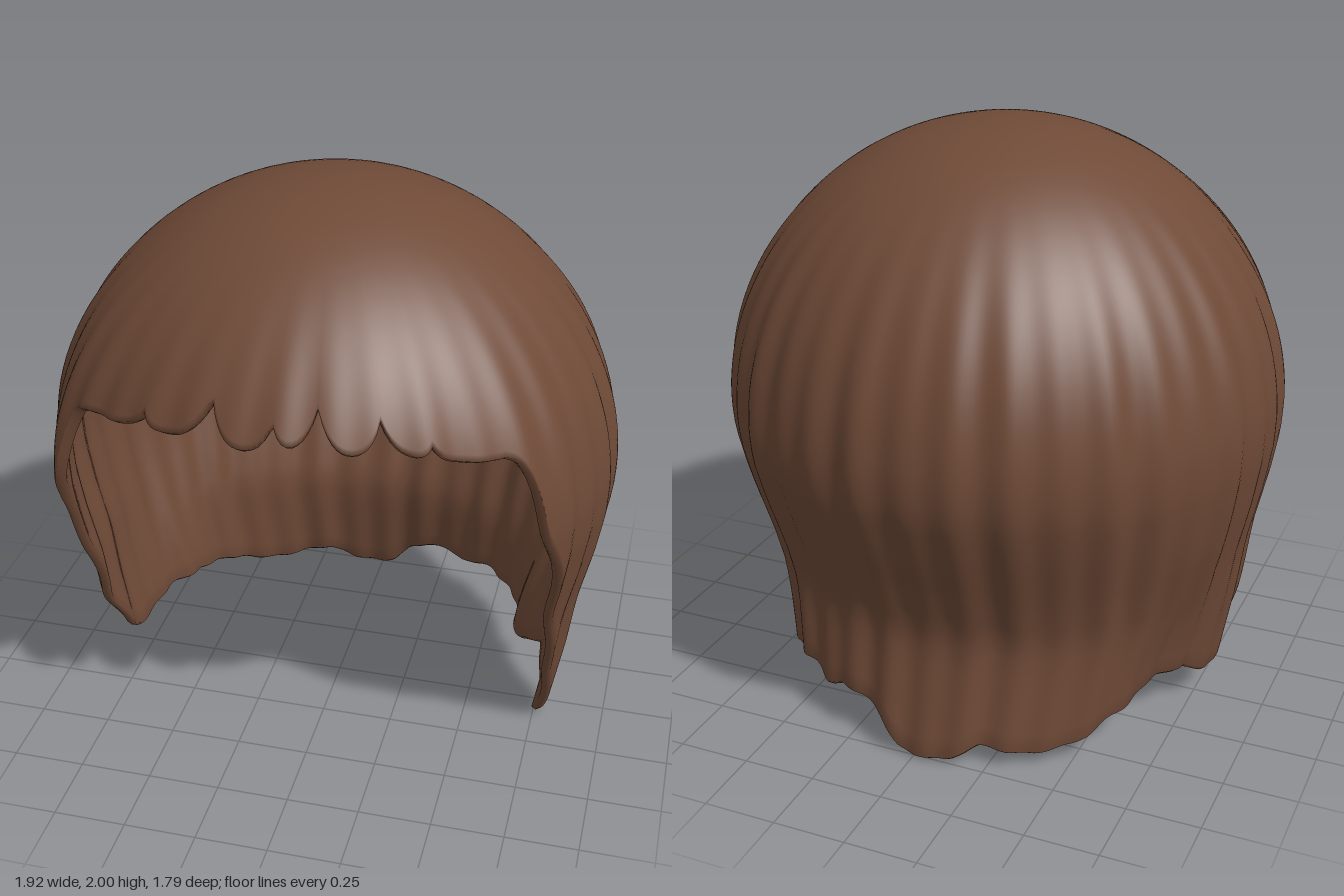
import * as THREE from 'three';

const COLS = 360, ROWS = 48;
const gauss = (d, w) => Math.exp(-(d * d) / (w * w));

// Piecewise-linear lookup in a table of [key, value] pairs with rising keys
function lookup(table, k) {
  if (k <= table[0][0]) return table[0][1];
  for (let i = 1; i < table.length; i++) {
    const [k0, v0] = table[i - 1], [k1, v1] = table[i];
    if (k <= k1) return v0 + (v1 - v0) * (k - k0) / (k1 - k0);
  }
  return table[table.length - 1][1];
}

// Radii below the widest level, by height
const sideRadius = [[0, 0.785], [0.2, 0.82], [0.4, 0.855], [0.6, 0.88], [0.8, 0.925], [0.95, 0.95], [1.05, 0.955]];
const backRadius = [[0, 0.82], [0.2, 0.78], [0.36, 0.75], [0.45, 0.745], [0.6, 0.795], [0.8, 0.875], [0.95, 0.928], [1.05, 0.94]];

// Height of the lower edge by angle in degrees (0 = front, 90 = +x, 180 = back)
const hem = [
  [48, 1.4], [51, 1.38], [53.5, 1.3], [56.4, 1.1], [61, 0.95], [66.6, 0.7], [75, 0.4],
  [85, 0.06], [88.5, 0.01], [93.5, 0.06], [101, 0.2], [108, 0.15], [114.5, 0.09], [122, 0.16],
  [134, 0.17], [146, 0.18], [153, 0.14], [158, 0.17], [165.5, 0.16], [171, 0.12], [176, 0.03],
  [180, 0.012], [189, 0.02], [196, 0.08], [200, 0.07], [210, 0.05], [219, 0.07], [229, 0.13],
  [243, 0.18], [256, 0.18], [264, 0.12], [270, 0.11], [275, 0.16], [285, 0.4], [293.4, 0.7],
  [299, 0.95], [303.6, 1.1], [306.5, 1.3], [309, 1.38], [312, 1.39],
];
// Fringe notches: angle, height, width
const notches = [[-29, 0.06, 2.5], [-13.4, 0.15, 4], [0.7, 0.1, 2.5], [10, 0.15, 3.5], [23, 0.12, 3], [33, 0.05, 2]];

function hemHeight(deg) {
  const signed = deg > 180 ? deg - 360 : deg;
  if (Math.abs(signed) < 48) {
    let y = 1.395 + 0.035 * Math.min(1, (48 - Math.abs(signed)) / 20);
    for (const [a, h, w] of notches) y += h * Math.exp(-Math.abs(signed - a) / w);
    return y;
  }
  return (lookup(hem, deg - 1) + 2 * lookup(hem, deg) + lookup(hem, deg + 1)) / 4;
}

// Point on the hair surface; scale shrinks it towards the axis for the inside
function hairPoint(deg, y, scale, drop) {
  const a = THREE.MathUtils.degToRad(deg);
  const dome = y > 1.05 ? Math.sqrt(Math.max(0, 1 - ((y - 1.05) / 0.95) ** 2)) : 1;
  const rx = lookup(sideRadius, y);
  const rz = Math.cos(a) > 0 ? rx * 0.985 : lookup(backRadius, y);
  // Combed ridges that fade in below the crown
  const fade = THREE.MathUtils.smoothstep(2 - y, 0.05, 0.8);
  let k = 1 + fade * (0.008 * Math.sin(36 * a) + 0.005 * Math.sin(23 * a + 1));
  // Fuller front corners, and a tuck behind each side lock
  const fromFront = Math.min(deg, 360 - deg);
  k += 0.025 * fade * gauss(fromFront - 54, 8);
  k -= 0.09 * (1 - THREE.MathUtils.smoothstep(y, 0.15, 0.7)) * gauss(fromFront - 114, 14);
  const r = dome * k * scale;
  return [rx * r * Math.sin(a), y - drop, 0.05 + rz * r * Math.cos(a)];
}

// Closed shell: outside from crown to hem, rounded rim, inside back to crown
function hairGeometry() {
  const pos = [], index = [], n = 2 * ROWS + 3;
  for (let i = 0; i < COLS; i++) {
    const deg = i * 360 / COLS, h = hemHeight(deg);
    const yAt = j => 2 - (2 - h) * (1 - Math.cos(j / ROWS * Math.PI / 2));
    for (let j = 0; j <= ROWS; j++) pos.push(...hairPoint(deg, yAt(j), 1, 0));
    pos.push(...hairPoint(deg, h, 0.98, 0.012));
    for (let j = ROWS; j >= 0; j--) {
      const y = yAt(j);
      pos.push(...hairPoint(deg, y, 0.96, 0.035 * Math.max(0, (y - 1.1) / 0.9)));
    }
    const next = (i + 1) % COLS;
    for (let j = 0; j < n - 1; j++) {
      const p = i * n + j, q = next * n + j;
      index.push(p, p + 1, q, q, p + 1, q + 1);
    }
  }
  const geo = new THREE.BufferGeometry();
  geo.setAttribute('position', new THREE.Float32BufferAttribute(pos, 3));
  geo.setIndex(index);
  geo.computeVertexNormals();
  return geo;
}

export function createModel() {
  const group = new THREE.Group();
  group.name = 'wig';
  const brown = new THREE.MeshStandardMaterial({ color: 0x6f4a37 });
  brown.name = 'brown hair';
  const hair = new THREE.Mesh(hairGeometry(), brown);
  hair.name = 'hair';
  group.add(hair);
  return group;
}
